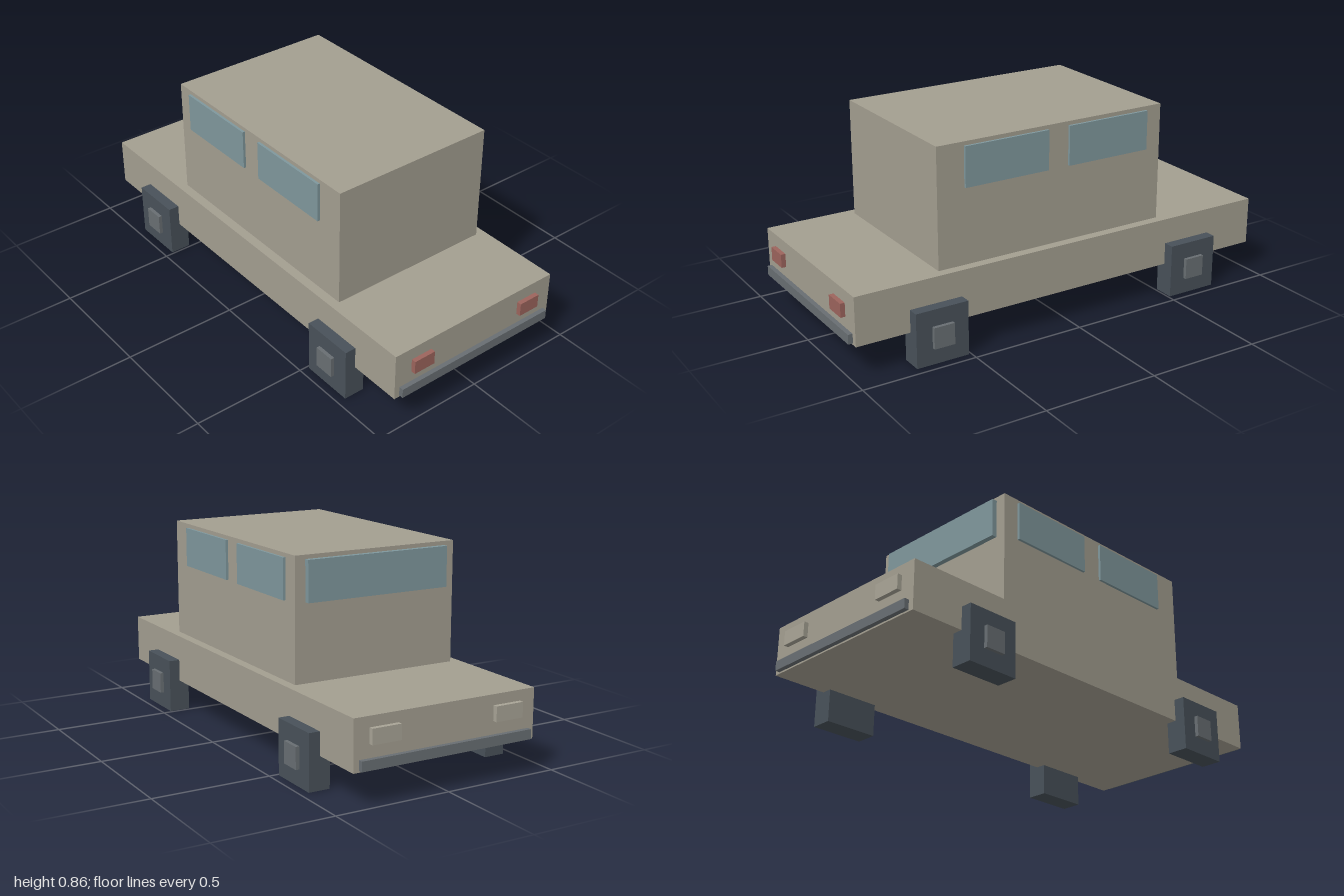
import * as THREE from 'three';

export function createModel() {
  const car = new THREE.Group();
  car.name = 'car';

  const mat = (color) => new THREE.MeshStandardMaterial({ color });
  const paint = mat(0xa39e90);
  const glass = mat(0x7f979c);
  const rubber = mat(0x485159);
  const metal = mat(0x686e72);
  const red = mat(0x9c645c);
  const lamp = mat(0xa8a496);

  // Box given by its [min, max] range on each axis
  const box = (name, material, [x0, x1], [y0, y1], [z0, z1]) => {
    const mesh = new THREE.Mesh(new THREE.BoxGeometry(x1 - x0, y1 - y0, z1 - z0), material);
    mesh.position.set((x0 + x1) / 2, (y0 + y1) / 2, (z0 + z1) / 2);
    mesh.name = name;
    car.add(mesh);
  };

  // Same box on both sides of the car
  const pair = (name, material, [x0, x1], y, z) => {
    box(name + 'Left', material, [x0, x1], y, z);
    box(name + 'Right', material, [-x1, -x0], y, z);
  };

  // Body and cabin
  box('body', paint, [-0.414, 0.414], [0.138, 0.347], [-0.98, 0.98]);
  box('cabin', paint, [-0.373, 0.373], [0.347, 0.86], [-0.485, 0.592]);

  // Windows
  const windowY = [0.673, 0.843];
  pair('sideWindowA', glass, [0.363, 0.384], windowY, [0.082, 0.47]);
  pair('sideWindowB', glass, [0.363, 0.384], windowY, [-0.41, -0.018]);
  box('windshield', glass, [-0.327, 0.327], windowY, [-0.508, -0.475]);

  // Lights
  pair('redLight', red, [0.232, 0.332], [0.234, 0.293], [0.96, 1]);
  pair('headlight', lamp, [0.218, 0.345], [0.24, 0.303], [-1, -0.96]);

  // Bumpers
  box('bumperFront', metal, [-0.39, 0.39], [0.145, 0.186], [0.96, 1]);
  box('bumperBack', metal, [-0.39, 0.39], [0.145, 0.186], [-1, -0.96]);

  // Square wheels with hubs
  for (const [end, z] of [['front', 0.628], ['back', -0.626]]) {
    pair(end + 'Wheel', rubber, [0.37, 0.462], [0, 0.235], [z - 0.117, z + 0.117]);
    pair(end + 'Hub', metal, [0.44, 0.478], [0.072, 0.164], [z - 0.046, z + 0.046]);
  }

  return car;
}
